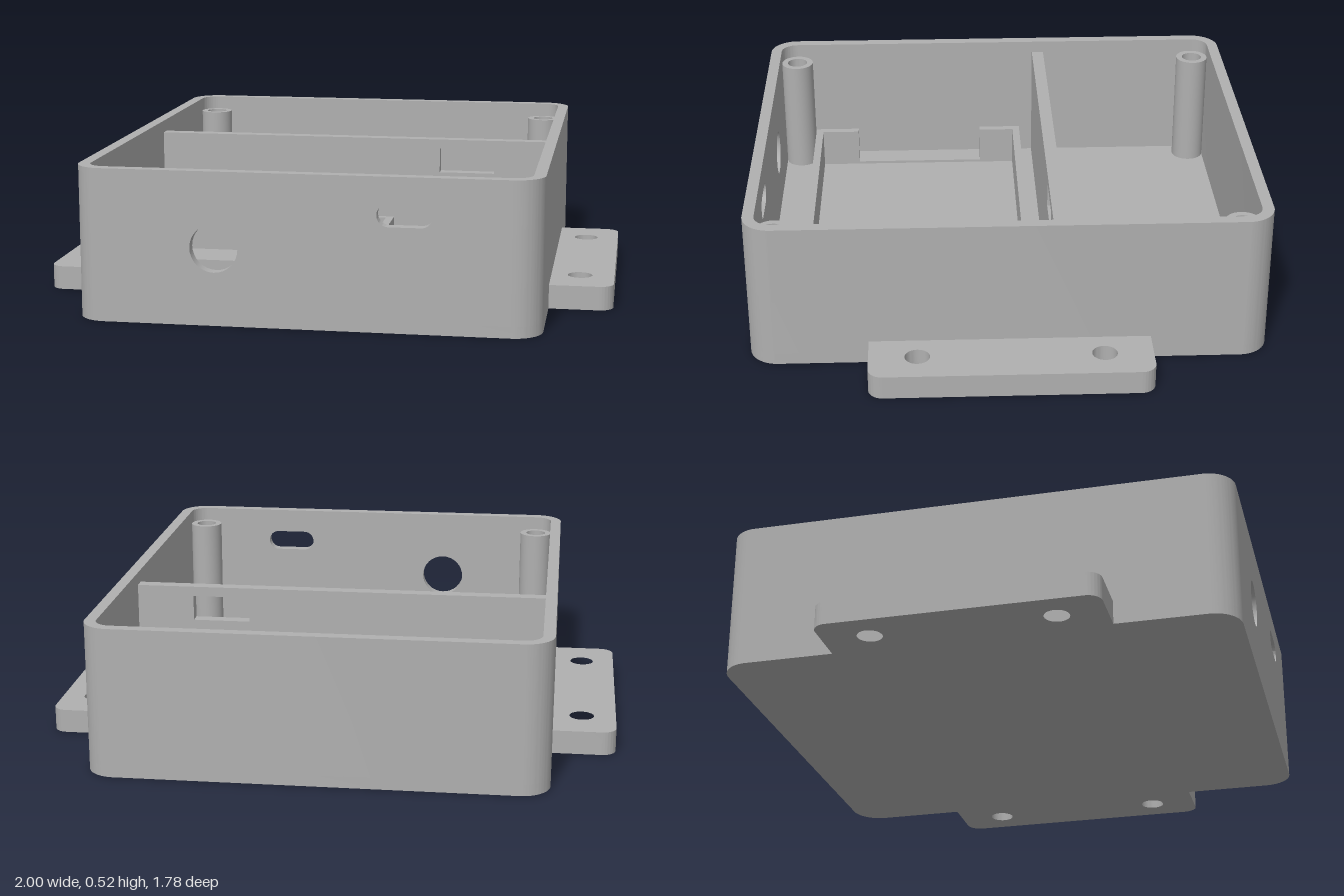
import * as THREE from 'three';
import { toCreasedNormals } from 'three/addons/utils/BufferGeometryUtils.js';

const W = 0.78, D = 0.89, H = 0.52;        // outer half width, half depth, height
const WALL = 0.04, FLOOR = 0.04, R = 0.1;  // wall, floor, corner radius
const CX = W - R, CZ = D - R;              // corner centres

const circle = (x, y, r) => new THREE.Path().absarc(x, y, r, 0, Math.PI * 2, true);

function rect(x0, y0, x1, y1) {
  return new THREE.Shape([[x0, y0], [x1, y0], [x1, y1], [x0, y1]].map(p => new THREE.Vector2(...p)));
}

function extrude(shape, depth) {
  return new THREE.ExtrudeGeometry(shape, { depth, bevelEnabled: false, curveSegments: 16 });
}

// Extrude an (x, z) plan from height y0 to y1
function plan(shape, y0, y1) {
  const g = extrude(shape, y1 - y0).rotateX(Math.PI / 2).translate(0, y1, 0);
  return toCreasedNormals(g, 0.6);
}

// Extrude an (x, y) elevation from depth z0 to z1
function elevation(shape, z0, z1) {
  return toCreasedNormals(extrude(shape, z1 - z0).translate(0, 0, z0), 0.6);
}

export function createModel() {
  const model = new THREE.Group();
  model.name = 'enclosure';
  const grey = new THREE.MeshStandardMaterial({ color: 0xb0b0b0 });
  grey.name = 'grey plastic';
  const add = (name, geometry) => {
    const m = new THREE.Mesh(geometry, grey);
    m.name = name;
    model.add(m);
    return m;
  };

  // Floor plate with rounded corners
  const floor = new THREE.Shape();
  floor.absarc(CX, CZ, R, 0, Math.PI / 2);
  floor.absarc(-CX, CZ, R, Math.PI / 2, Math.PI);
  floor.absarc(-CX, -CZ, R, Math.PI, Math.PI * 1.5);
  floor.absarc(CX, -CZ, R, Math.PI * 1.5, Math.PI * 2);
  add('floor', plan(floor, 0, FLOOR));

  // Side and back walls in one run, open between the front corners
  const r = R - WALL, q = Math.PI / 2;
  const walls = new THREE.Shape();
  walls.absarc(-CX, CZ, R, q, 2 * q);
  walls.absarc(-CX, -CZ, R, 2 * q, 3 * q);
  walls.absarc(CX, -CZ, R, 3 * q, 4 * q);
  walls.absarc(CX, CZ, R, 0, q);
  walls.absarc(CX, CZ, r, q, 0, true);
  walls.absarc(CX, -CZ, r, 4 * q, 3 * q, true);
  walls.absarc(-CX, -CZ, r, 3 * q, 2 * q, true);
  walls.absarc(-CX, CZ, r, 2 * q, q, true);
  add('sideAndBackWalls', plan(walls, FLOOR, H));

  // Front wall with round port and slot
  const front = rect(-CX, FLOOR, CX, H);
  front.holes.push(circle(-0.3, 0.262, 0.081));
  const slot = new THREE.Path();
  slot.absarc(0.387, 0.392, 0.038, -q, q);
  slot.absarc(0.279, 0.392, 0.038, q, 3 * q);
  front.holes.push(slot);
  add('frontWall', elevation(front, D - WALL, D));

  // Hollow screw posts in the corners
  for (const sx of [-1, 1]) for (const sz of [-1, 1]) {
    const post = new THREE.Shape().absarc(sx * CX, sz * CZ, 0.061, 0, Math.PI * 2);
    post.holes.push(circle(sx * CX, sz * CZ, 0.038));
    add('screwPost', plan(post, FLOOR, 0.47));
  }

  // Cross divider with cable window
  const divider = rect(-W + WALL, FLOOR, W - WALL, 0.475);
  divider.holes.push(rect(0.33, 0.35, 0.535, 0.44));
  add('divider', elevation(divider, -0.195, -0.15));

  // Tray: low rim all round, raised ends, side gaps
  const x0 = -0.655, x1 = 0.165, z0 = -0.095, z1 = 0.725, t = 0.028;
  const rim = rect(x0, z0, x1, z1);
  rim.holes.push(rect(x0 + t, z0 + t, x1 - t, z1 - t));
  add('trayRim', plan(rim, FLOOR, 0.05));
  const bracket = (za, zb, s) => {
    const shape = new THREE.Shape([
      [x0, za], [x1, za], [x1, zb], [x1 - t, zb],
      [x1 - t, za + s * t], [x0 + t, za + s * t], [x0 + t, zb], [x0, zb],
    ].map(p => new THREE.Vector2(...p)));
    return plan(shape, 0.05, 0.185);
  };
  add('trayBackBracket', bracket(z0, 0.065, 1));
  add('trayFrontBracket', bracket(z1, 0.555, -1));

  // Mounting tabs with screw holes
  for (const s of [-1, 1]) {
    const a = 0.05, zt = 0.48;
    const tab = new THREE.Shape();
    tab.moveTo(s * W, -zt);
    tab.lineTo(s * (1 - a), -zt);
    tab.quadraticCurveTo(s * 0.985, -zt + 0.015, s, -zt + a);
    tab.curves.pop();
    tab.absarc(s * (1 - a), -zt + a, a, -q, s > 0 ? 0 : -2 * q, s < 0);
    tab.absarc(s * (1 - a), zt - a, a, s > 0 ? 0 : 2 * q, q, s < 0);
    tab.lineTo(s * W, zt);
    for (const z of [-0.315, 0.315]) tab.holes.push(circle(s * 0.88, z, 0.043));
    add(s > 0 ? 'leftMountingTab' : 'rightMountingTab', plan(tab, 0, 0.083));
  }
  return model;
}
